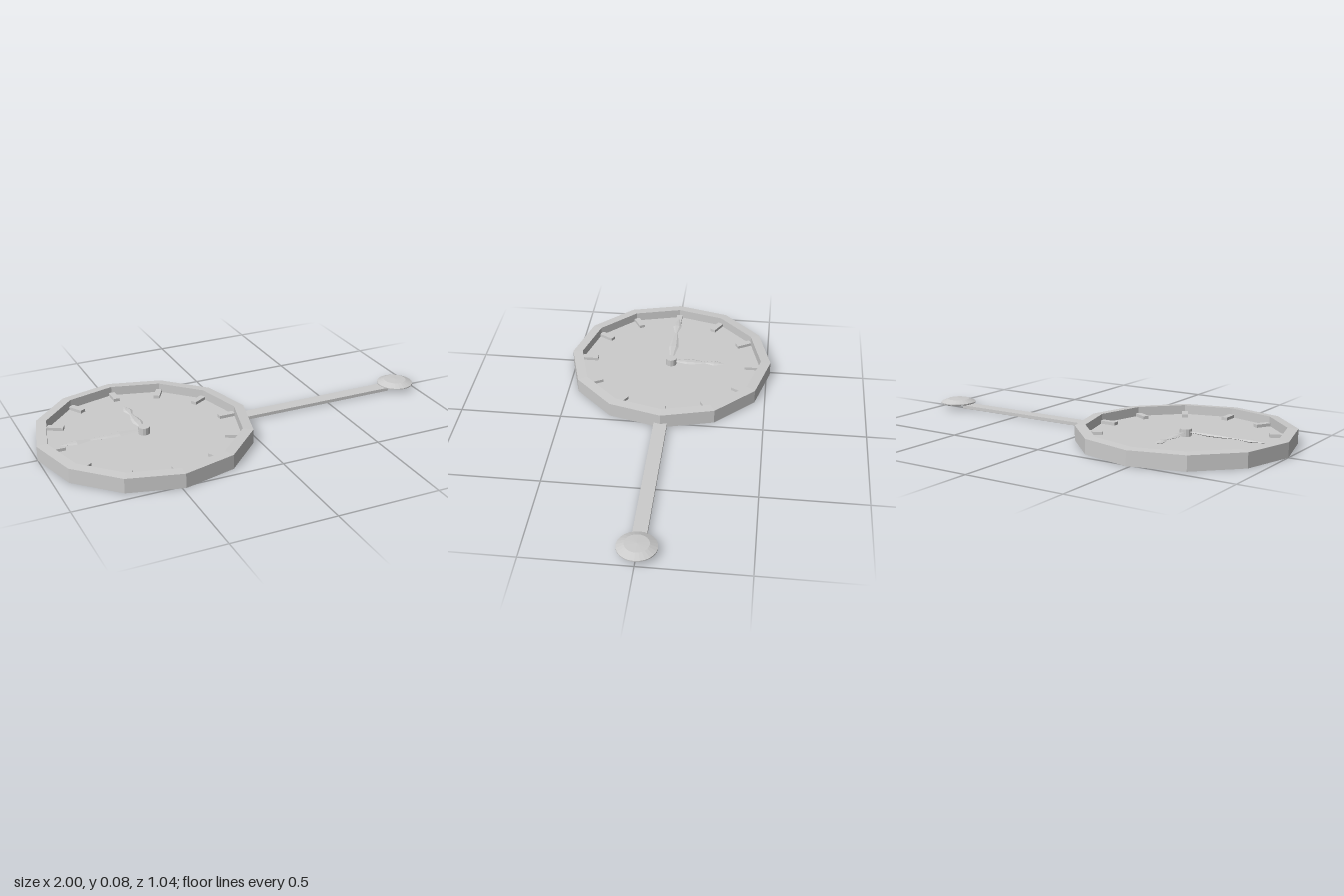
import * as THREE from 'three';

const CLOCK_X = -0.483; // centre of the clock
const FACE_Y = 0.03;    // height of the recessed dial

const flat = new THREE.MeshStandardMaterial({ color: 0xcccccc, flatShading: true });

function add(parent, name, geometry, x = 0, y = 0, z = 0) {
  const mesh = new THREE.Mesh(geometry, flat);
  mesh.name = name;
  mesh.position.set(x, y, z);
  parent.add(mesh);
  return mesh;
}

function lathe(points, sides) {
  return new THREE.LatheGeometry(points.map(([r, y]) => new THREE.Vector2(r, y)), sides);
}

// Flattened hexagonal section along -z with two swellings
function handGeometry(length) {
  const profile = [[0, 0.02], [0.009, 0.03], [0.024, 0.14], [0.022, 0.19], [0.007, 0.26]];
  const points = [
    [0, 0.02], [0.01, 0.03], [0.025, length * 0.3], [0.021, length * 0.45],
    [0.007, length * 0.64], [0.023, length * 0.8], [0.016, length * 0.88], [0, length],
  ];
  const geometry = lathe(points, 6);
  geometry.rotateY(Math.PI / 2);
  geometry.rotateX(-Math.PI / 2);
  geometry.scale(1, 0.3, 1);
  return geometry;
}

export function createModel() {
  const model = new THREE.Group();
  model.name = 'wallClock';

  const clock = new THREE.Group();
  clock.name = 'clock';
  clock.position.x = CLOCK_X;
  model.add(clock);

  // Twelve-sided case with raised rim and recessed dial
  add(clock, 'case', lathe([
    [0, 0], [0.518, 0], [0.518, 0.071], [0.468, 0.075], [0.468, FACE_Y], [0, FACE_Y],
  ], 12));

  // Hour marks, one at each corner of the dial
  for (let i = 0; i < 12; i++) {
    const a = (i * Math.PI) / 6;
    const mark = add(clock, 'hourMark', new THREE.BoxGeometry(0.03, 0.016, 0.08),
      Math.sin(a) * 0.426, FACE_Y + 0.007, Math.cos(a) * 0.426);
    mark.rotation.y = a;
  }

  // Hands and centre pin
  add(clock, 'hourHand', handGeometry(0.28), 0, 0.048, 0);
  add(clock, 'minuteHand', handGeometry(0.415), 0, 0.051, 0).rotation.y = Math.PI / 2;
  add(clock, 'centrePin', new THREE.CylinderGeometry(0.028, 0.028, 0.036, 12), 0, FACE_Y + 0.017, 0);

  // Pendulum rod and domed bob
  const pendulum = new THREE.Group();
  pendulum.name = 'pendulum';
  model.add(pendulum);
  add(pendulum, 'rod', new THREE.BoxGeometry(0.86, 0.016, 0.066), 0.42, 0.013, 0);
  add(pendulum, 'bob', lathe([
    [0, 0.022], [0.082, 0.022], [0.091, 0.026], [0.091, 0.031], [0.056, 0.046], [0, 0.049],
  ], 24), 0.908, 0, 0);

  return model;
}
